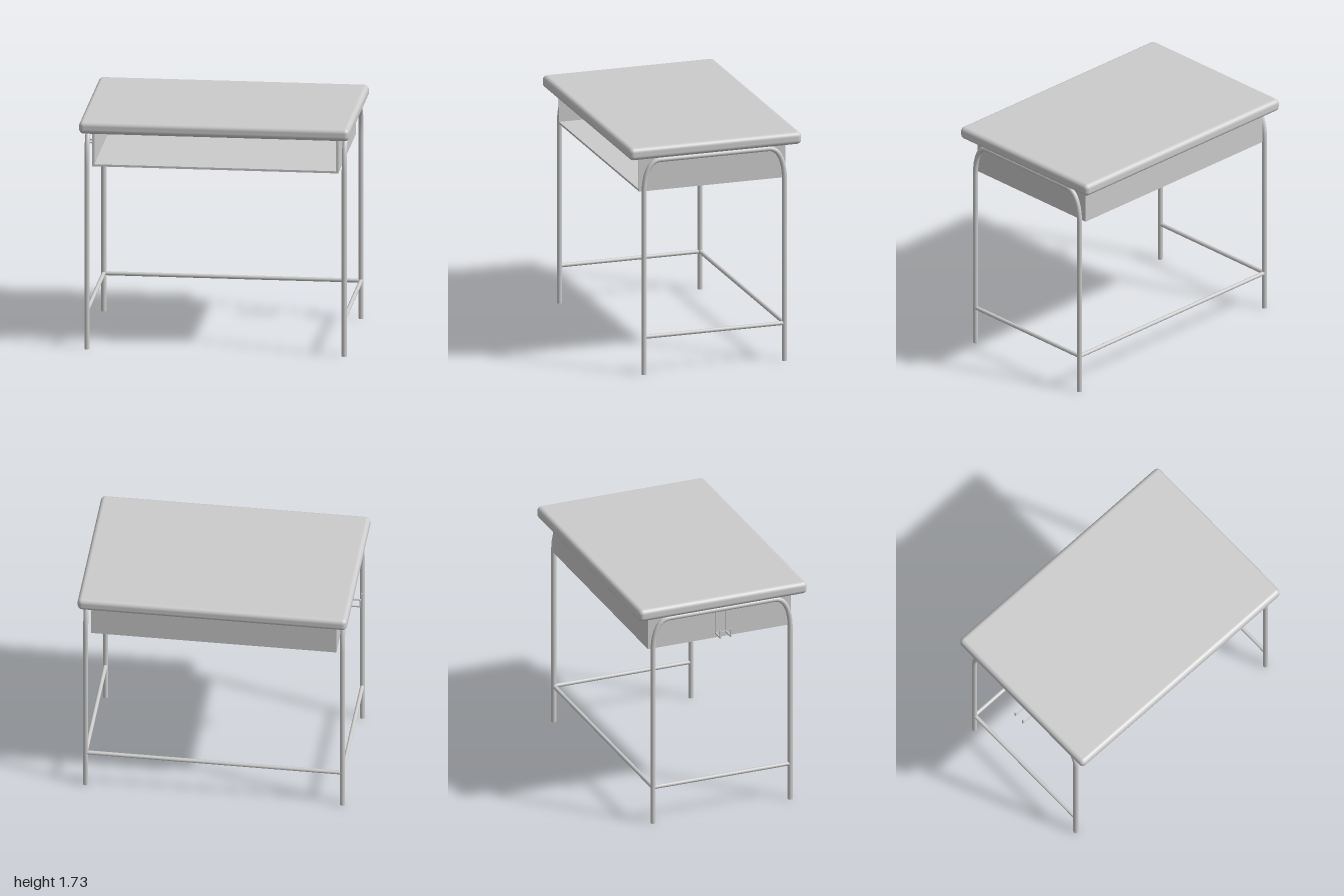
import * as THREE from 'three';
import { RoundedBoxGeometry } from 'three/addons/geometries/RoundedBoxGeometry.js';

const material = new THREE.MeshStandardMaterial({ color: 0xcccccc });
const V = (x, y, z) => new THREE.Vector3(x, y, z);

function add(parent, name, geometry, x = 0, y = 0, z = 0) {
  const mesh = new THREE.Mesh(geometry, material);
  mesh.name = name;
  mesh.position.set(x, y, z);
  parent.add(mesh);
  return mesh;
}

// Straight round bar between two points
function bar(parent, name, a, b, radius) {
  const mesh = add(parent, name, new THREE.CylinderGeometry(radius, radius, a.distanceTo(b), 16));
  mesh.position.copy(a).lerp(b, 0.5);
  mesh.quaternion.setFromUnitVectors(V(0, 1, 0), b.clone().sub(a).normalize());
  return mesh;
}

export function createModel() {
  const desk = new THREE.Group();
  desk.name = 'schoolDesk';
  const cx = 0.009, cz = 0.004;
  const legX = 0.941, legZ = 0.54, tubeR = 0.0185, barR = 0.015, barY = 0.285;

  // Top slab with rounded edges
  add(desk, 'desktop', new RoundedBoxGeometry(1.975, 0.093, 1.322, 6, 0.034), cx, 1.687, cz);

  // Storage tray: shell open to the front, closed at the back
  const tray = new THREE.Group();
  tray.name = 'tray';
  desk.add(tray);
  const w = 1.8, h = 0.262, d = 1.124, t = 0.016, y0 = 1.378;
  add(tray, 'trayFloor', new THREE.BoxGeometry(w, t, d), cx, y0 + t / 2, cz);
  add(tray, 'trayCeiling', new THREE.BoxGeometry(w, t, d), cx, y0 + h - t / 2, cz);
  add(tray, 'trayBack', new THREE.BoxGeometry(w - 2 * t, h - 2 * t, t), cx, y0 + h / 2, cz - d / 2 + t / 2);
  for (const s of [-1, 1]) {
    add(tray, 'traySide', new THREE.BoxGeometry(t, h - 2 * t, d), cx + s * (w - t) / 2, y0 + h / 2, cz);
  }

  // Bent tube leg frames with a low side rail
  const topY = 1.62, bendY = 1.37, bendZ = 0.415;
  for (const s of [-1, 1]) {
    const frame = new THREE.Group();
    frame.name = s > 0 ? 'leftLegFrame' : 'rightLegFrame';
    frame.position.set(cx + s * legX, 0, cz);
    desk.add(frame);

    for (const e of [-1, 1]) {
      bar(frame, 'leg', V(0, 0, e * legZ), V(0, bendY, e * legZ), tubeR);
      const bend = new THREE.CubicBezierCurve3(
        V(0, bendY, e * legZ), V(0, 1.51, e * legZ),
        V(0, topY, e * 0.5), V(0, topY, e * bendZ));
      add(frame, 'legBend', new THREE.TubeGeometry(bend, 16, tubeR, 16));
    }
    bar(frame, 'topRail', V(0, topY, -bendZ), V(0, topY, bendZ), tubeR);
    bar(frame, 'sideRail', V(0, barY, -legZ + 0.01), V(0, barY, legZ - 0.01), barR);
  }

  // Rear stretcher
  bar(desk, 'rearStretcher', V(cx - legX, barY, cz - legZ), V(cx + legX, barY, cz - legZ), barR);

  // Double bag hook on the right side
  const hook = new THREE.Group();
  hook.name = 'bagHook';
  desk.add(hook);
  const k = 0.01, inX = -0.905, outX = -0.995, lowY = 1.42;
  for (const z of [-0.031, 0.05]) {
    add(hook, 'hookStem', new THREE.BoxGeometry(k, 0.225, k), inX, 1.5275, z);
    add(hook, 'hookArm', new THREE.BoxGeometry(inX - outX, k, k), (inX + outX) / 2, lowY, z);
    add(hook, 'hookLip', new THREE.BoxGeometry(k, 0.065, k), outX, 1.4475, z);
  }
  add(hook, 'hookBridge', new THREE.BoxGeometry(k, k, 0.081), inX, lowY, 0.0095);

  return desk;
}
